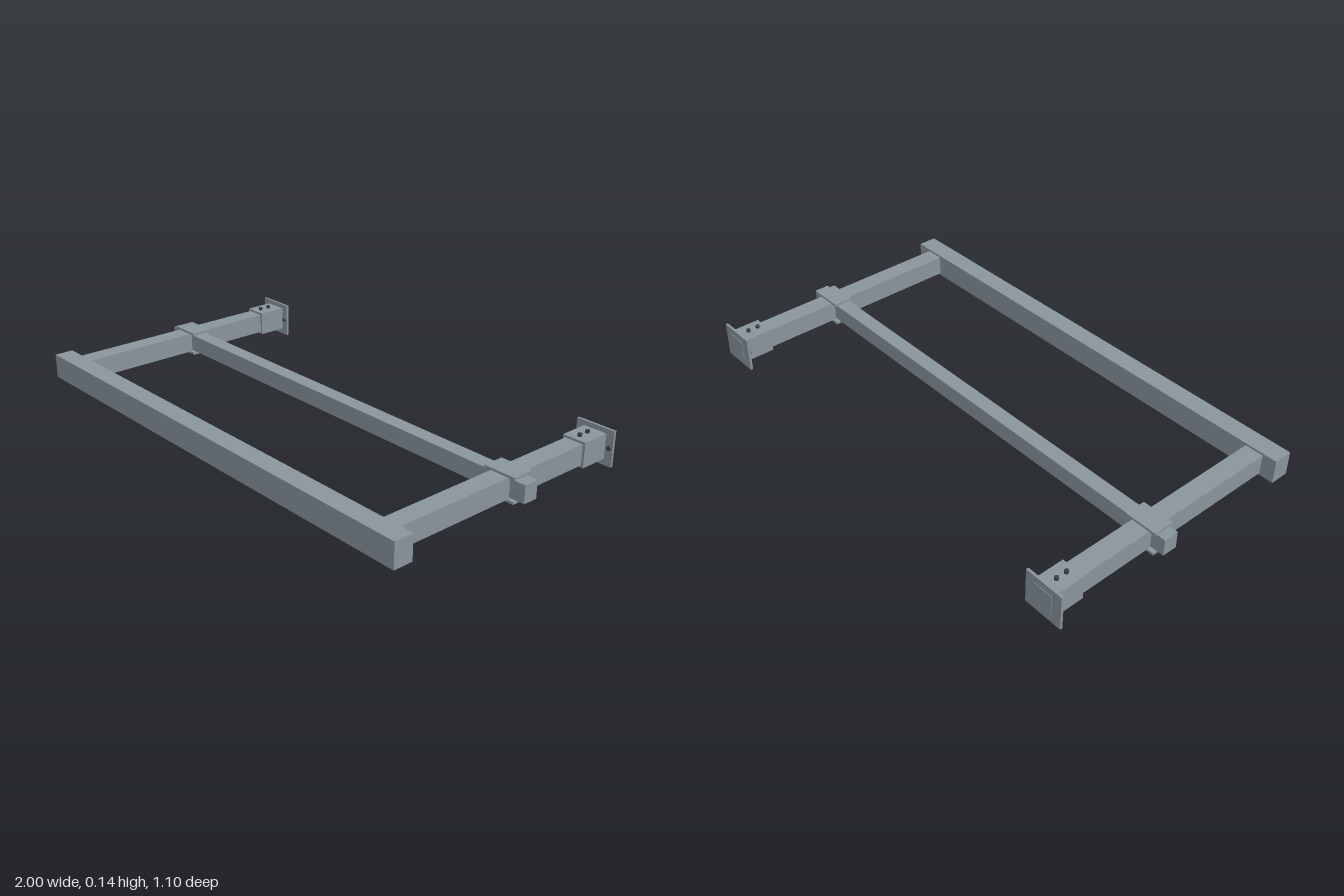
import * as THREE from 'three';

export function createModel() {
  const model = new THREE.Group();
  const steel = new THREE.MeshStandardMaterial({ color: 0x8a959c });
  steel.name = 'grey steel';
  const dark = new THREE.MeshStandardMaterial({ color: 0x3a4045 });
  dark.name = 'dark bolt steel';

  // Box given by its extents on each axis
  function box(parent, name, [x0, x1], [y0, y1], [z0, z1]) {
    const mesh = new THREE.Mesh(new THREE.BoxGeometry(x1 - x0, y1 - y0, z1 - z0), steel);
    mesh.position.set((x0 + x1) / 2, (y0 + y1) / 2, (z0 + z1) / 2);
    mesh.name = name;
    parent.add(mesh);
  }

  function bolt(parent, name, x, y, z, height, alongZ) {
    const geometry = new THREE.CylinderGeometry(0.008, 0.008, height, 16);
    if (alongZ) geometry.rotateX(Math.PI / 2);
    const mesh = new THREE.Mesh(geometry, dark);
    mesh.position.set(x, y, z);
    mesh.name = name;
    parent.add(mesh);
  }

  // Long beams running across the frame
  box(model, 'frontBeam', [-1, 1], [0.024, 0.122], [0.471, 0.549]);
  box(model, 'crossBar', [-1, 1], [0.038, 0.107], [-0.099, -0.038]);

  // Side arms with clamps and wall mounts
  for (const [name, x] of [['rightArm', -0.904], ['leftArm', 0.898]]) {
    const arm = new THREE.Group();
    arm.name = name;
    arm.position.x = x;
    model.add(arm);

    box(arm, 'rail', [-0.038, 0.038], [0.032, 0.113], [-0.549, 0.475]);
    box(arm, 'clampTop', [-0.065, 0.065], [0.112, 0.122], [-0.113, -0.028]);
    box(arm, 'clampBottom', [-0.065, 0.065], [0.024, 0.034], [-0.113, -0.028]);
    box(arm, 'socket', [-0.048, 0.048], [0.024, 0.122], [-0.54, -0.418]);
    box(arm, 'wallPlate', [-0.08, 0.08], [0, 0.141], [-0.547, -0.537]);

    for (const z of [-0.449, -0.492]) bolt(arm, 'socketBolt', 0, 0.127, z, 0.012, false);
    for (const side of [-1, 1]) bolt(arm, 'plateBolt', side * 0.066, 0.072, -0.534, 0.008, true);
  }
  return model;
}
